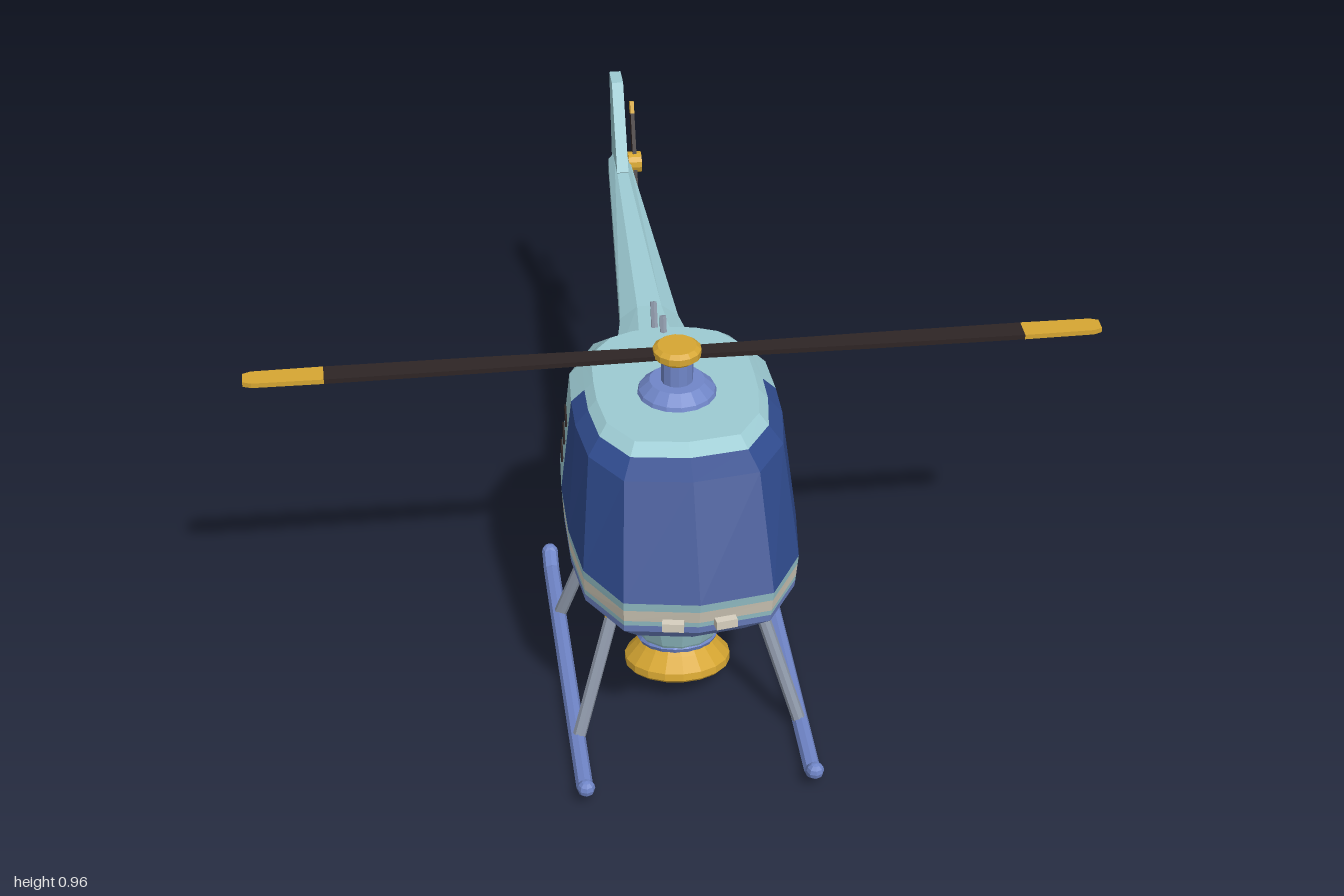
import * as THREE from 'three';

const mat = (name, color, side = THREE.FrontSide) =>
  Object.assign(new THREE.MeshStandardMaterial({ color, flatShading: true, side }), { name });

// Flat-faced geometry from a list of Vector3 triangles
const faceted = (pts) => {
  const g = new THREE.BufferGeometry().setFromPoints(pts);
  g.computeVertexNormals();
  return g;
};
// Quad between two rings, and a fan closing a ring
const quad = (out, a, b, i) => {
  const j = (i + 1) % a.length;
  out.push(a[i], a[j], b[j], a[i], b[j], b[i]);
};
const fan = (out, r, flip) => {
  for (let i = 1; i < r.length - 1; i++) out.push(r[0], r[flip ? i + 1 : i], r[flip ? i : i + 1]);
};

// Fuselage levels: y, half width, front z, rear z
const LEVELS = [
  [0.335, 0.195, 0.73, 0.165], [0.43, 0.264, 0.84, 0.065], [0.525, 0.27, 0.863, 0.04],
  [0.77, 0.243, 0.725, 0.068], [0.82, 0.19, 0.635, 0.135],
];
// Plan outline of one half: share of the width, share of the length (or fixed z)
const PLAN = [[0, 0], [0.64, 0.035], [0.93, 0.2], [1, 0.4], [1, 0, 0.36], [0.97, 0, 0.24], [0.68, 0.93], [0.4, 0.975], [0, 1]];

function bodyRing(y) {
  let k = 0;
  while (k < LEVELS.length - 2 && y > LEVELS[k + 1][0]) k++;
  const [A, B] = [LEVELS[k], LEVELS[k + 1]];
  const f = (y - A[0]) / (B[0] - A[0]);
  const [w, zf, zr] = [1, 2, 3].map((n) => A[n] + (B[n] - A[n]) * f);
  const half = PLAN.map(([px, t, z]) => new THREE.Vector3(px * w, y, z ?? zf + (zr - zf) * t));
  const other = half.slice(1, -1).reverse().map((p) => new THREE.Vector3(-p.x, p.y, p.z));
  return [...half, ...other];
}

export function createModel() {
  const root = new THREE.Group();
  root.name = 'helicopter';
  const teal = mat('paleTeal', 0x9ccad2);
  const blue = mat('periwinkle', 0x7086c8);
  const glass = mat('navyGlass', 0x2f4a8c);
  const cream = mat('cream', 0xd6cfbe);
  const yellow = mat('ochre', 0xd6a632);
  const dark = mat('darkBrown', 0x2e2525, THREE.DoubleSide);
  const grey = mat('steelGrey', 0x8d97a8);

  const add = (name, geo, material, pos = [0, 0, 0], parent = root) => {
    const m = new THREE.Mesh(geo, material);
    m.name = name;
    m.position.set(...pos);
    parent.add(m);
    return m;
  };
  const V = (x, y, z) => new THREE.Vector3(x, y, z);
  // Cylinder between two points
  const rod = (name, a, b, r, material, sides = 8) => {
    const d = b.clone().sub(a);
    const m = add(name, new THREE.CylinderGeometry(r, r, d.length(), sides), material, a.clone().add(b).multiplyScalar(0.5).toArray());
    m.quaternion.setFromUnitVectors(V(0, 1, 0), d.normalize());
    return m;
  };
  const plate = (pts, depth) => new THREE.ExtrudeGeometry(
    new THREE.Shape(pts.map((p) => new THREE.Vector2(...p))), { depth, bevelEnabled: false }).translate(0, 0, -depth / 2);
  const lathe = (pts, sides) => new THREE.LatheGeometry(pts.map((p) => new THREE.Vector2(...p)), sides);

  // Fuselage, split by colour into bands and the wraparound windshield
  const skin = { lowerHull: [], upperHull: [], stripe: [], windshield: [] };
  const bands = [
    [0.335, 'lowerHull'], [0.43, 'lowerHull'], [0.45, 'upperHull'], [0.465, 'stripe'], [0.5, 'upperHull'],
    [0.525, 'windshield'], [0.77, 'windshield'], [0.8, 'upperHull'], [0.82],
  ];
  for (let k = 0; k < bands.length - 1; k++) {
    const [a, b] = [bodyRing(bands[k][0]), bodyRing(bands[k + 1][0])];
    for (let i = 0; i < a.length; i++) {
      const front = i < 4 || i >= a.length - 4;
      const part = bands[k][1] === 'windshield' && !front ? 'upperHull' : bands[k][1];
      quad(skin[part], a, b, i);
    }
  }
  fan(skin.lowerHull, bodyRing(0.335), true);
  fan(skin.upperHull, bodyRing(0.82), false);
  const skinMats = { lowerHull: blue, upperHull: teal, stripe: cream, windshield: glass };
  for (const part in skin) add(part, faceted(skin[part]), skinMats[part]);

  // Tail boom: z, centre y, half width, half height
  const boomRings = [[-0.845, 0.73, 0.028, 0.035], [-0.14, 0.655, 0.073, 0.057], [0.07, 0.632, 0.112, 0.08], [0.14, 0.63, 0.112, 0.08]]
    .map(([z, y, w, h]) => Array.from({ length: 8 }, (_, i) => {
      const t = ((i + 0.5) * Math.PI) / 4, s = 1 / Math.cos(Math.PI / 8);
      return V(Math.cos(t) * w * s, y + Math.sin(t) * h * s, z);
    }));
  const boom = [];
  for (let k = 0; k < 3; k++) for (let i = 0; i < 8; i++) quad(boom, boomRings[k], boomRings[k + 1], i);
  fan(boom, boomRings[0], true);
  add('tailBoom', faceted(boom), teal);

  // Tail fin
  add('tailFin', plate([[-0.74, 0.76], [-0.86, 0.965], [-0.925, 0.965], [-0.877, 0.74], [-0.93, 0.577], [-0.875, 0.582], [-0.79, 0.7]], 0.03)
    .rotateY(-Math.PI / 2), teal);

  // Tail rotor on the left side
  const tail = new THREE.Group();
  tail.name = 'tailRotor';
  tail.position.set(0.042, 0.735, -0.84);
  tail.rotation.x = -0.45;
  root.add(tail);
  add('tailHub', new THREE.CylinderGeometry(0.028, 0.028, 0.035, 12).rotateZ(Math.PI / 2), yellow, [0, 0, 0], tail);
  add('tailBlades', new THREE.BoxGeometry(0.01, 0.26, 0.034), dark, [0, 0, 0], tail);
  for (const s of [-1, 1]) add('tailBladeTip', new THREE.BoxGeometry(0.01, 0.032, 0.034), yellow, [0, s * 0.146, 0], tail);

  // Main rotor mast, hub and blades
  const mz = 0.42;
  add('mastBase', lathe([[0.095, 0.815], [0.09, 0.83], [0.065, 0.853], [0, 0.853]], 16), blue, [0, 0, mz]);
  add('mast', new THREE.CylinderGeometry(0.038, 0.038, 0.07, 12), blue, [0, 0.88, mz]);
  add('rotorHub', lathe([[0, 0.908], [0.04, 0.908], [0.045, 0.916], [0.057, 0.922], [0.057, 0.938], [0.046, 0.947], [0, 0.947]], 14), yellow, [0, 0, mz]);
  for (const s of [1, -1]) {
    const turn = s > 0 ? 0 : Math.PI;
    add('mainBlade', plate([[0.03, -0.02], [0.45, -0.026], [0.815, -0.028], [0.815, 0.028], [0.45, 0.026], [0.03, 0.02]], 0.012)
      .rotateX(-Math.PI / 2), dark, [0, 0.923, mz - 0.003]).rotation.y = turn;
    add('mainBladeTip', plate([[0.815, -0.028], [0.98, -0.026], [1, -0.018], [1, 0.018], [0.98, 0.026], [0.815, 0.028]], 0.012)
      .rotateX(-Math.PI / 2), yellow, [0, 0.923, mz - 0.003]).rotation.y = turn;
  }

  // Antennas on the roof and the boom
  rod('roofAntenna', V(0, 0.81, 0.16), V(0, 0.855, 0.142), 0.009, grey, 6);
  rod('boomAntenna', V(0, 0.70, -0.015), V(0, 0.778, -0.05), 0.009, grey, 6);

  // Belly pod
  add('bellyPod', lathe([[0.1, 0.145], [0.106, 0.155], [0.147, 0.27], [0.162, 0.34]], 14), teal, [0, 0, 0.43]);

  // Tilted nozzle under the pod
  const nozzle = new THREE.Group();
  nozzle.name = 'nozzle';
  nozzle.position.set(0, 0.155, 0.43);
  nozzle.rotation.x = -0.2;
  root.add(nozzle);
  for (const y of [-0.008, -0.03]) add('collarRing', new THREE.TorusGeometry(0.086, 0.013, 6, 18).rotateX(Math.PI / 2), blue, [0, y, 0], nozzle);
  add('collarCore', new THREE.CylinderGeometry(0.086, 0.086, 0.06, 16), blue, [0, -0.01, 0], nozzle);
  add('nozzleFlare', lathe([[0.108, -0.105], [0.122, -0.107], [0.129, -0.1], [0.129, -0.082], [0.1, -0.05], [0.088, -0.035]], 18), yellow, [0, 0, 0], nozzle);
  add('nozzleInside', lathe([[0, -0.055], [0.085, -0.055], [0.108, -0.105]], 18), dark, [0, 0, 0], nozzle);

  for (const s of [-1, 1]) {
    // Landing skid with upturned ends
    const path = new THREE.CurvePath();
    const pts = [[0.05, 0.905], [0.02, 0.87], [0.02, 0], [0.045, -0.045]].map(([y, z]) => V(s * 0.27, y, z));
    for (let i = 0; i < 3; i++) path.add(new THREE.LineCurve3(pts[i], pts[i + 1]));
    add('skid', new THREE.TubeGeometry(path, 60, 0.02, 8), blue);
    for (const p of [pts[0], pts[3]]) add('skidEnd', new THREE.SphereGeometry(0.021, 8, 6), blue, p.toArray());

    // Struts and their mounts
    for (const [zTop, zBottom] of [[0.59, 0.685], [0.26, 0.195]]) {
      rod('strut', V(s * 0.165, 0.35, zTop), V(s * 0.265, 0.03, zBottom), 0.016, grey);
      add('strutMount', new THREE.BoxGeometry(0.045, 0.05, 0.045), yellow, [s * 0.165, 0.338, zTop]).rotation.z = s * 0.3;
    }

    // Engine vents
    for (const y of [0.68, 0.63, 0.58]) {
      const x = 0.985 * (0.27 - ((y - 0.525) / 0.245) * 0.027) - 0.007;
      add('vent', new THREE.BoxGeometry(0.02, 0.011, 0.082), dark, [s * x, y, 0.285]).rotation.set(0, s * 0.066, s * 0.11);
    }

    // Headlights
    add('headlight', new THREE.BoxGeometry(0.05, 0.022, 0.03), cream, [s * 0.06, 0.463, 0.845]).rotation.y = s * 0.17;
  }
  return root;
}
